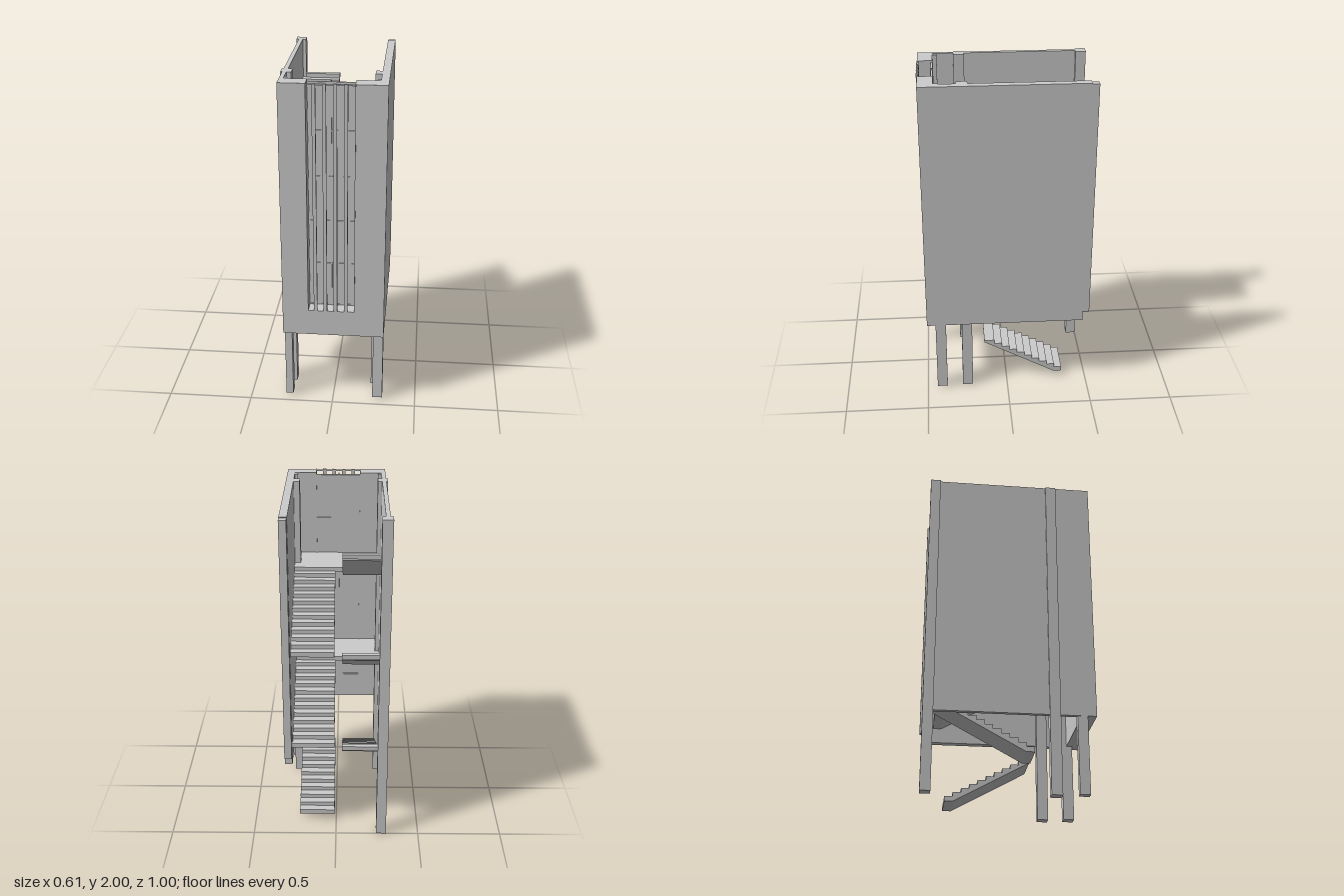
import * as THREE from 'three';

const TREAD = 0.0475, RISE = 0.025;

export function createModel() {
  const model = new THREE.Group();
  model.name = 'stairTower';
  const mat = new THREE.MeshStandardMaterial({ color: 0xcccccc, flatShading: true });

  const add = (name, geometry) => {
    const mesh = new THREE.Mesh(geometry, mat);
    mesh.name = name;
    model.add(mesh);
    return mesh;
  };

  // Box given by its limits on each axis
  const box = (name, x0, x1, y0, y1, z0, z1) =>
    add(name, new THREE.BoxGeometry(x1 - x0, y1 - y0, z1 - z0))
      .position.set((x0 + x1) / 2, (y0 + y1) / 2, (z0 + z1) / 2);

  // Stepped flight: y is the first tread, z the lower end, dir +1 climbs to the front
  const flight = (name, x0, x1, y, z, steps, dir) => {
    const s = new THREE.Shape();
    const run = steps * TREAD;
    s.moveTo(0, y - 0.03);
    for (let i = 0; i < steps; i++) {
      s.lineTo(i * TREAD, y + i * RISE);
      s.lineTo((i + 1) * TREAD, y + i * RISE);
    }
    s.lineTo(run + 0.015, y + (steps - 1) * RISE);
    s.lineTo(run + 0.015, y + (steps - 1) * RISE - 0.012);
    s.lineTo(0.05, y - 0.03);
    const g = new THREE.ExtrudeGeometry(s, { depth: x1 - x0, bevelEnabled: false });
    g.rotateY(-dir * Math.PI / 2);
    add(name, g).position.set(dir > 0 ? x1 : x0, 0, z);
  };

  // Side walls; the left one has a raised strip at its back edge
  box('rightWall', -0.29, -0.265, 0.47, 2, -0.46, 0.45);
  box('leftWall', 0.258, 0.303, 0.47, 2, -0.46, 0.45);
  box('leftWallBackEdge', 0.26, 0.303, 0.53, 1.995, -0.5, -0.46);

  // Front wall: two piers and the part below the window
  box('frontPierRight', -0.29, -0.14, 0.47, 2, 0.405, 0.492);
  box('frontPierLeft', 0.13, 0.303, 0.47, 2, 0.405, 0.492);
  box('frontApron', -0.14, 0.13, 0.47, 0.63, 0.405, 0.492);

  // Columns standing on the ground
  box('backColumnRight', -0.305, -0.245, 0, 2, -0.5, -0.44);
  box('middleColumnRight', -0.3, -0.24, 0, 2, 0.22, 0.283);
  box('middleColumnLeft', 0.222, 0.28, 0, 2, 0.217, 0.28);
  box('frontColumnRight', -0.288, -0.245, 0.01, 1.998, 0.38, 0.44);
  box('frontColumnLeft', 0.24, 0.3, 0.01, 1.998, 0.377, 0.44);

  // Window: recessed pane, frame and bars
  box('windowPane', -0.14, 0.13, 0.63, 1.99, 0.409, 0.413);
  for (const x of [-0.14, -0.008, 0.13])
    box('windowMullion', x - 0.003, x + 0.003, 0.63, 1.998, 0.402, 0.418);
  for (let i = 0; i < 6; i++) {
    const y = 0.635 + i * 0.27;
    box('windowBar', -0.14, 0.13, y - 0.003, y + 0.003, 0.404, 0.416);
  }
  // Side linings and vertical fins across the opening
  for (const x of [-0.14, 0.13])
    box('windowLining', x - 0.002, x + 0.002, 0.63, 2, 0.402, 0.496);
  for (const x of [-0.095, -0.038, 0.021, 0.08])
    box('windowFin', x - 0.01, x + 0.01, 0.625, 2, 0.482, 0.497);
  box('finRail', -0.14, 0.13, 1.99, 1.998, 0.484, 0.488);

  // Bottom flight, then full storeys with landings at the front
  flight('bottomFlight', 0.01, 0.225, 0.065, -0.35, 10, 1);
  for (let k = 0; k < 3; k++) {
    const y = 0.29 + k * 0.6;
    flight('rightFlight', k ? -0.265 : -0.245, -0.035, y, 0.14, 12, -1);
    box('flightTopLip', -0.245, -0.035, y + 0.275, y + 0.3, -0.455, -0.425);
    if (k < 2) flight('leftFlight', 0.01, 0.258, y + 0.3, -0.42, 12, 1);
    if (k > 0) box('landing', -0.265, 0.258, y - 0.03, y, 0.14, 0.405);
  }
  return model;
}
